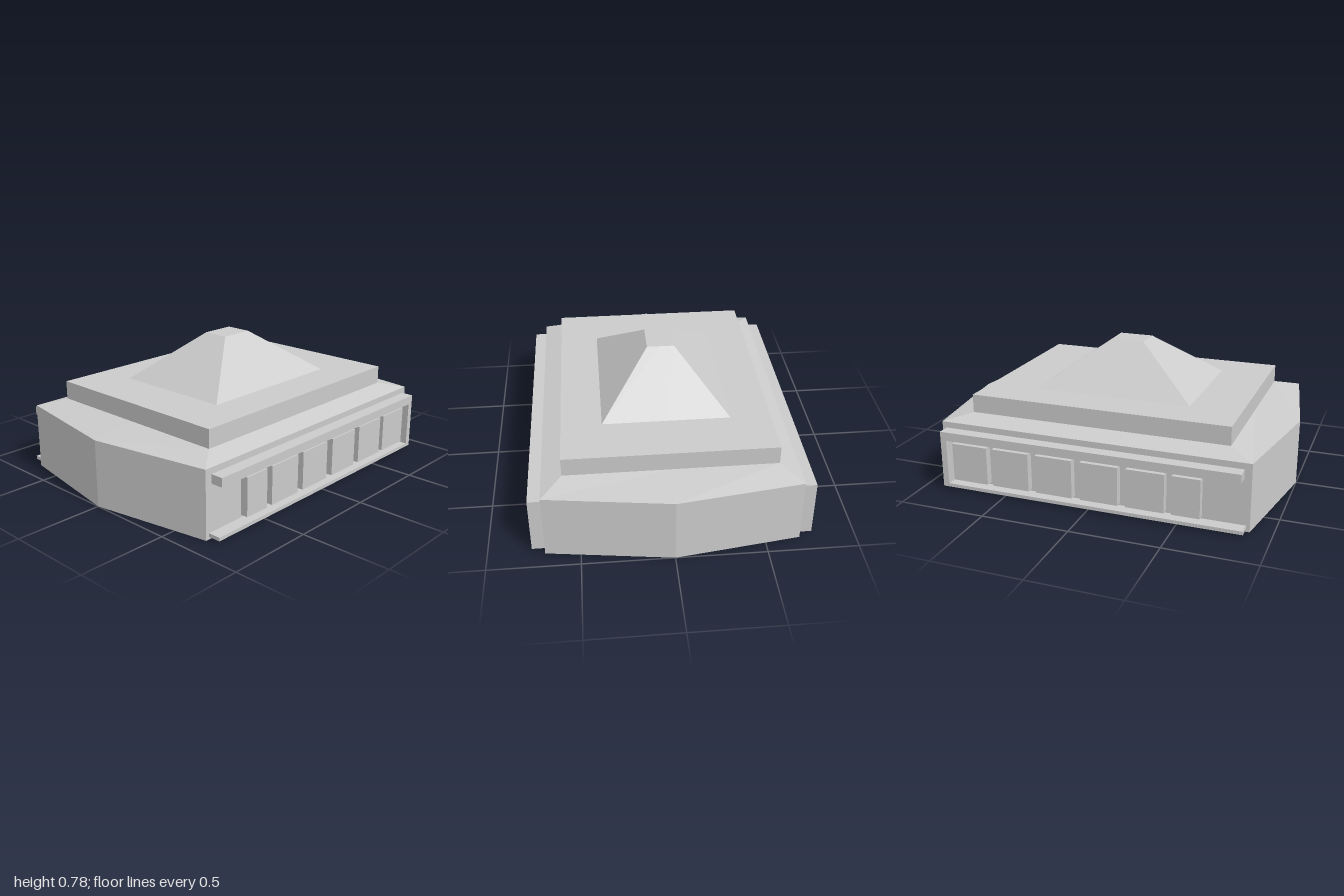
import * as THREE from 'three';

const material = new THREE.MeshStandardMaterial({ color: 0xcccccc, flatShading: true });

function add(parent, name, geometry) {
  const mesh = new THREE.Mesh(geometry, material);
  mesh.name = name;
  parent.add(mesh);
  return mesh;
}

// Footprint of six points, with the two ends coming to a shallow point
const footprint = (left, right, z, leftTip = left, rightTip = right) =>
  [[right, z], [rightTip, 0], [right, -z], [left, -z], [leftTip, 0], [left, z]];

// Closed solid between a lower and an upper footprint
function loft(lower, y0, upper, y1) {
  const n = lower.length;
  const points = [];
  for (const [x, z] of lower) points.push(x, y0, z);
  for (const [x, z] of upper) points.push(x, y1, z);
  const index = [];
  for (let i = 0; i < n; i++) {
    const j = (i + 1) % n;
    index.push(i, j, n + j, i, n + j, n + i);
  }
  for (let i = 1; i < n - 1; i++) {
    index.push(0, i + 1, i, n, n + i, n + i + 1);
  }
  const geometry = new THREE.BufferGeometry();
  geometry.setAttribute('position', new THREE.Float32BufferAttribute(points, 3));
  geometry.setIndex(index);
  const flat = geometry.toNonIndexed();
  flat.computeVertexNormals();
  return flat;
}

export function createModel() {
  const building = new THREE.Group();
  building.name = 'building';

  // Main volume and stepped roof
  const wall = footprint(-0.88, 0.905, 0.692, -1, 1);
  const slab = footprint(-0.74, 0.765, 0.58);
  add(building, 'walls', loft(wall, 0, wall, 0.38));
  add(building, 'slopedRoof', loft(wall, 0.38, slab, 0.415));
  add(building, 'roofSlab', loft(slab, 0.415, slab, 0.52));
  add(building, 'roofPyramid',
    loft(footprint(-0.45, 0.475, 0.355), 0.52, footprint(-0.085, 0.112, 0.077), 0.78));

  // Three-sided frame, open at the left end of the facade
  const frameShape = new THREE.Shape([
    [-0.86, 0.015], [0.88, 0.015], [0.88, 0.345], [-0.84, 0.345],
    [-0.84, 0.295], [0.845, 0.295], [0.845, 0.035], [-0.86, 0.035],
  ].map(([x, y]) => new THREE.Vector2(x, y)));
  const frameGeometry = new THREE.ExtrudeGeometry(frameShape, { depth: 0.071, bevelEnabled: false });

  // Start and end of each window panel along the facade
  const panels = [[-0.625, -0.47], [-0.43, -0.215], [-0.17, 0.045], [0.095, 0.31], [0.355, 0.575], [0.61, 0.825]];

  for (const side of [1, -1]) {
    const facade = new THREE.Group();
    facade.name = side > 0 ? 'frontFacade' : 'backFacade';
    building.add(facade);
    add(facade, 'facadeFrame', frameGeometry).position.z = side > 0 ? 0.692 : -0.763;
    for (const [x0, x1] of panels) {
      add(facade, 'windowPanel', new THREE.BoxGeometry(x1 - x0, 0.22, 0.06))
        .position.set((x0 + x1) / 2, 0.16, side * 0.705);
    }
  }
  return building;
}
